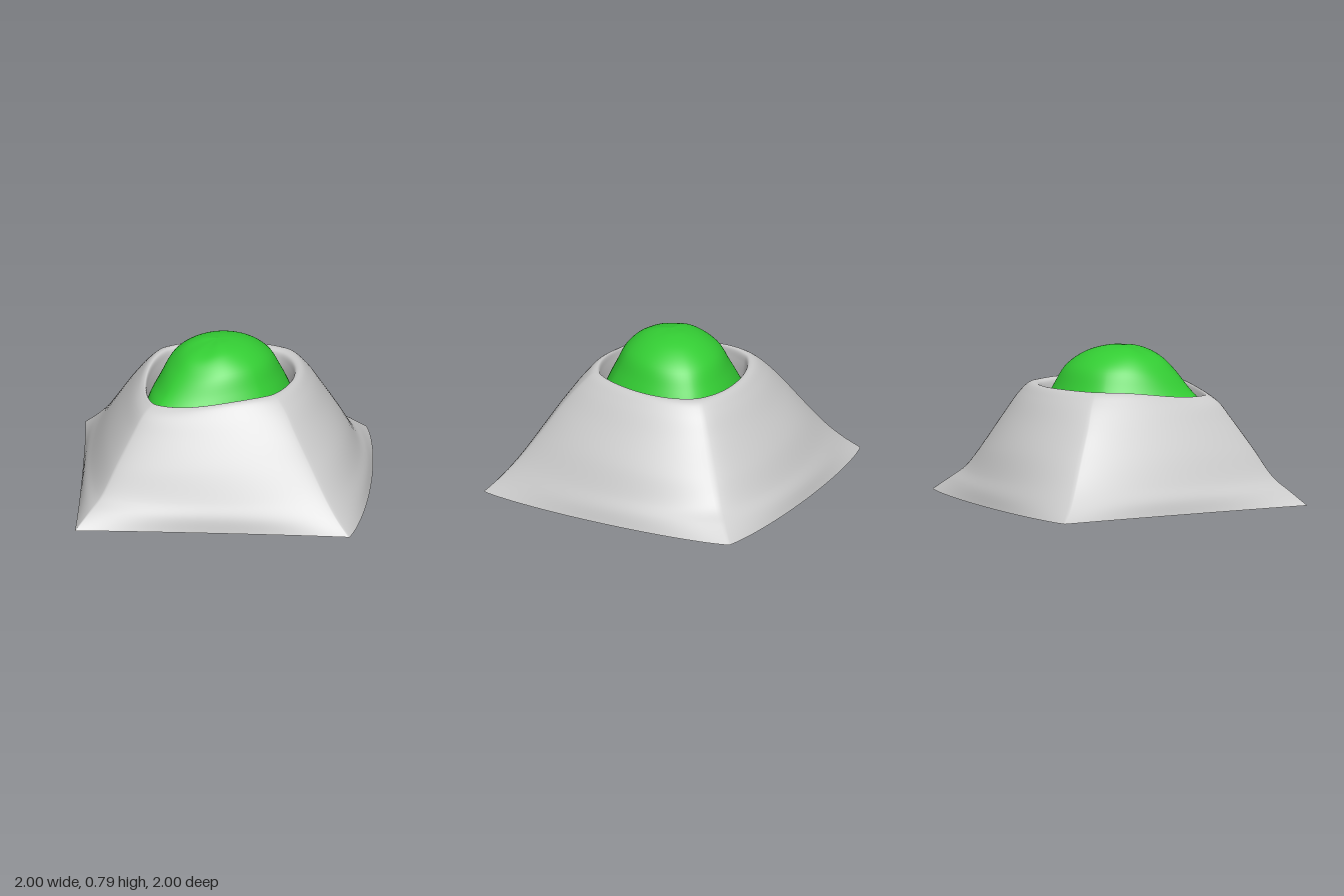
import * as THREE from 'three';

const SIDES = 96;

// Point on a four-cornered ring: [x+, x-, z, y at x+, y at x-, y at z, roundness x+, roundness x-, centre x]
function ringPoint([xp, xn, z, yp, yn, yz, rp, rn, cx], a) {
  const c = Math.cos(a), s = Math.sin(a);
  const e = 2 / (c >= 0 ? rp : rn);
  const side = c >= 0 ? xp - cx : xn - cx;
  const y = THREE.MathUtils.lerp(c >= 0 ? yp : yn, yz, THREE.MathUtils.smoothstep(s * s, 0, 1));
  return new THREE.Vector3(
    cx + side * Math.abs(c) ** e, y, Math.sign(s) * z * Math.abs(s) ** e);
}

// Smooth skin through the rings, listed from the bottom outwards and up
function loft(rings, steps) {
  const pos = [], index = [];
  for (let i = 0; i < SIDES; i++) {
    const a = (i / SIDES) * Math.PI * 2;
    const curve = new THREE.CatmullRomCurve3(rings.map(r => ringPoint(r, a)));
    for (let j = 0; j <= steps; j++) pos.push(...curve.getPoint(j / steps).toArray());
  }
  const row = steps + 1;
  for (let i = 0; i < SIDES; i++) {
    const n = (i + 1) % SIDES;
    for (let j = 0; j < steps; j++) {
      const a = i * row + j, b = n * row + j;
      index.push(a, a + 1, b, b, a + 1, b + 1);
    }
  }
  const geo = new THREE.BufferGeometry();
  geo.setAttribute('position', new THREE.Float32BufferAttribute(pos, 3));
  geo.setIndex(index);
  geo.computeVertexNormals();
  return geo;
}

export function createModel() {
  const group = new THREE.Group();
  const add = (name, geo, color) => {
    const mesh = new THREE.Mesh(geo, new THREE.MeshStandardMaterial({ color, side: THREE.DoubleSide }));
    mesh.name = name;
    group.add(mesh);
  };

  // Mound with swelling faces, rolling over the rim into the socket
  const base = [1, -1, 1, 0, 0, 0, 1.16, 0.98, -0.02];
  add('mound', loft([
    base,
    [0.9, -0.9, 0.91, 0.07, 0.075, 0.07, 1.31, 1.1, -0.02],
    [0.82, -0.82, 0.82, 0.13, 0.135, 0.155, 1.42, 1.19, -0.015],
    [0.72, -0.71, 0.70, 0.26, 0.28, 0.295, 1.55, 1.27, -0.01],
    [0.61, -0.60, 0.59, 0.42, 0.42, 0.43, 1.56, 1.3, -0.01],
    [0.53, -0.53, 0.49, 0.53, 0.505, 0.54, 1.56, 1.34, 0],
    [0.47, -0.485, 0.425, 0.58, 0.535, 0.59, 1.6, 1.4, 0],
    [0.425, -0.455, 0.392, 0.575, 0.545, 0.59, 1.68, 1.48, 0],
    [0.41, -0.44, 0.38, 0.53, 0.51, 0.54, 1.72, 1.52, 0],
    [0.405, -0.435, 0.375, 0.42, 0.42, 0.42, 1.72, 1.52, 0],
  ], 63), 0xcccccc);

  // Flat underside
  const outline = [];
  for (let i = 0; i < SIDES; i++) {
    const p = ringPoint(base, (i / SIDES) * Math.PI * 2);
    outline.push(new THREE.Vector2(p.x, p.z));
  }
  add('underside', new THREE.ShapeGeometry(new THREE.Shape(outline)).rotateX(Math.PI / 2), 0xcccccc);

  // Dome seated in the socket, flaring towards its foot
  add('dome', loft([
    [0.415, -0.45, 0.385, 0.42, 0.44, 0.42, 1.72, 1.52, 0],
    [0.39, -0.43, 0.35, 0.49, 0.505, 0.49, 1.75, 1.55, 0],
    [0.343, -0.37, 0.295, 0.58, 0.565, 0.59, 1.8, 1.65, 0],
    [0.282, -0.29, 0.24, 0.675, 0.655, 0.685, 1.87, 1.82, 0],
    [0.18, -0.22, 0.155, 0.747, 0.723, 0.75, 1.95, 1.9, -0.01],
    [0.07, -0.12, 0.08, 0.78, 0.765, 0.777, 2, 2, -0.02],
    [-0.02, -0.02, 0, 0.786, 0.786, 0.786, 2, 2, -0.02],
  ], 36), 0x33cc33);

  return group;
}
